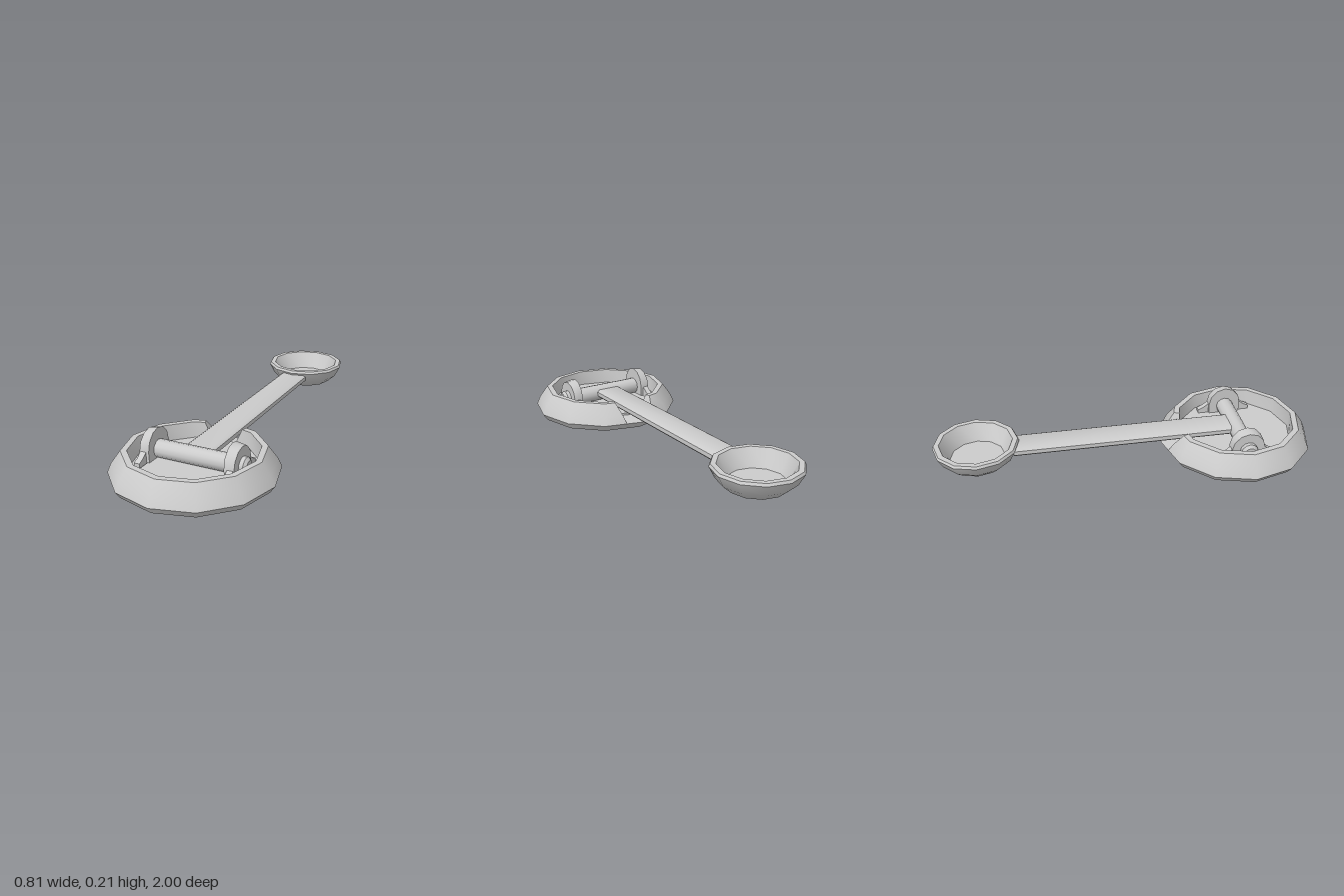
import * as THREE from 'three';
import { toCreasedNormals } from 'three/addons/utils/BufferGeometryUtils.js';

const material = new THREE.MeshStandardMaterial({ color: 0xcccccc, side: THREE.DoubleSide });
const BASE_Z = 0.595;
const rad = THREE.MathUtils.degToRad;

function part(name, geometry, x = 0, y = 0, z = 0) {
  const mesh = new THREE.Mesh(toCreasedNormals(geometry, rad(38)), material);
  mesh.name = name;
  mesh.position.set(x, y, z);
  return mesh;
}

// Sweeps a closed (radius, height) section around a 12-sided ring.
// angleAt(station, height) gives degrees measured from the back towards +x.
function ringLoft(section, stations, angleAt) {
  const n = section.length, positions = [], index = [];
  for (let i = 0; i < stations; i++) {
    for (const [r, y] of section) {
      const a = angleAt(i, y);
      const local = ((a % 30) + 30) % 30 - 15;
      const flatR = r * Math.cos(rad(15)) / Math.cos(rad(local));
      positions.push(flatR * Math.sin(rad(a)), y, -flatR * Math.cos(rad(a)));
    }
  }
  for (let i = 0; i < stations - 1; i++) {
    for (let j = 0; j < n; j++) {
      const a = i * n + j, b = i * n + (j + 1) % n;
      index.push(a, b, b + n, a, b + n, a + n);
    }
  }
  const end = (stations - 1) * n;
  for (let j = 0; j < n - 2; j++) {
    index.push(n - 1, j + 1, j, end + n - 1, end + j, end + j + 1);
  }
  const g = new THREE.BufferGeometry();
  g.setAttribute('position', new THREE.Float32BufferAttribute(positions, 3));
  g.setIndex(index);
  return g;
}

// Extrudes an outline drawn in (z, y) along x, centred on x = 0
function sidePlate(points, width) {
  const shape = new THREE.Shape(points.map(([z, y]) => new THREE.Vector2(-z, y)));
  const g = new THREE.ExtrudeGeometry(shape, { depth: width, bevelEnabled: false });
  return g.translate(0, 0, -width / 2).rotateY(Math.PI / 2);
}

function createBase() {
  const base = new THREE.Group();
  base.name = 'base';
  base.position.z = BASE_Z;

  // Wall with a notch at the back that widens upwards
  const wall = [[0.38, 0], [0.405, 0.035], [0.385, 0.08], [0.34, 0.142], [0.31, 0.142], [0.3, 0.05]];
  const notch = (y) => 12 + Math.max(0, y - 0.05) * 85;
  base.add(part('wall', ringLoft(wall, 13, (i, y) =>
    i === 0 ? notch(y) : i === 12 ? 360 - notch(y) : i * 30)));

  // Low sill under the notch
  const sill = [[0.38, 0], [0.405, 0.035], [0.3, 0.05]];
  base.add(part('sill', ringLoft(sill, 3, (i) => (i - 1) * 12)));

  // Floor with one slot under each bracket
  const floor = new THREE.Shape();
  for (let i = 0; i < 12; i++) {
    const a = rad(i * 30);
    floor[i ? 'lineTo' : 'moveTo'](0.304 * Math.cos(a), 0.304 * Math.sin(a));
  }
  for (const s of [-1, 1]) {
    const hole = [[0.205, -0.145], [0.205, 0.145], [0.24, 0.145], [0.24, -0.145]];
    floor.holes.push(new THREE.Path(hole.map(([x, y]) => new THREE.Vector2(s * x, y))));
  }
  const floorGeo = new THREE.ExtrudeGeometry(floor, { depth: 0.012, bevelEnabled: false });
  base.add(part('floor', floorGeo.rotateX(-Math.PI / 2), 0, 0.05, 0));
  return base;
}

function createBracket(side) {
  const bracket = new THREE.Group();
  bracket.name = side > 0 ? 'leftBracket' : 'rightBracket';
  bracket.position.set(side * 0.22, 0, BASE_Z);

  // Arched cheek, its top sloping down to the outside
  const arch = [[-0.085, 0.055]];
  for (let i = 0; i <= 6; i++) {
    const a = Math.PI * (1 - i / 6);
    arch.push([0.088 * Math.cos(a), 0.115 + 0.095 * Math.sin(a)]);
  }
  arch.push([0.085, 0.055]);
  const cheek = sidePlate(arch, 0.05);
  const p = cheek.attributes.position;
  for (let i = 0; i < p.count; i++) {
    if (p.getX(i) * side > 0) p.setY(i, 0.055 + (p.getY(i) - 0.055) * 0.935);
  }
  bracket.add(part('cheek', cheek));

  // Feet in front and behind
  for (const s of [-1, 1]) {
    const foot = [[0.145, 0.052], [0.145, 0.08], [0.12, 0.09], [0.08, 0.12], [0.08, 0.052]];
    bracket.add(part('foot', sidePlate(foot.map(([z, y]) => [s * z, y]), 0.03), side * 0.005));
  }
  return bracket;
}

export function createModel() {
  const model = new THREE.Group();
  model.name = 'catapult';
  model.add(createBase(), createBracket(1), createBracket(-1));

  // Axle with tapered ends
  const axle = [[0, -0.278], [0.03, -0.278], [0.045, -0.265], [0.045, 0.265], [0.03, 0.278], [0, 0.278]];
  const axleGeo = new THREE.LatheGeometry(axle.map(([r, y]) => new THREE.Vector2(r, y)), 12);
  model.add(part('axle', axleGeo.rotateZ(Math.PI / 2), 0, 0.105, BASE_Z));

  // Flat throwing arm with softened edges
  const arm = new THREE.Shape([[-0.075, 0.1], [-0.065, 0.09], [0.065, 0.09], [0.075, 0.1],
    [0.075, 0.122], [0.06, 0.131], [-0.06, 0.131], [-0.075, 0.122]].map(([x, y]) => new THREE.Vector2(x, y)));
  const armGeo = new THREE.ExtrudeGeometry(arm, { depth: 1.155, bevelEnabled: false });
  model.add(part('arm', armGeo, 0, 0, -0.595));

  // Round cup at the end of the arm
  const cup = [[0, 0.03], [0.09, 0.03], [0.145, 0.045], [0.19, 0.085], [0.22, 0.142],
    [0.213, 0.155], [0.187, 0.155], [0.14, 0.065], [0, 0.065]];
  const cupGeo = new THREE.LatheGeometry(cup.map(([r, y]) => new THREE.Vector2(r, y)), 12);
  model.add(part('cup', cupGeo, 0, 0, -0.78));
  return model;
}
